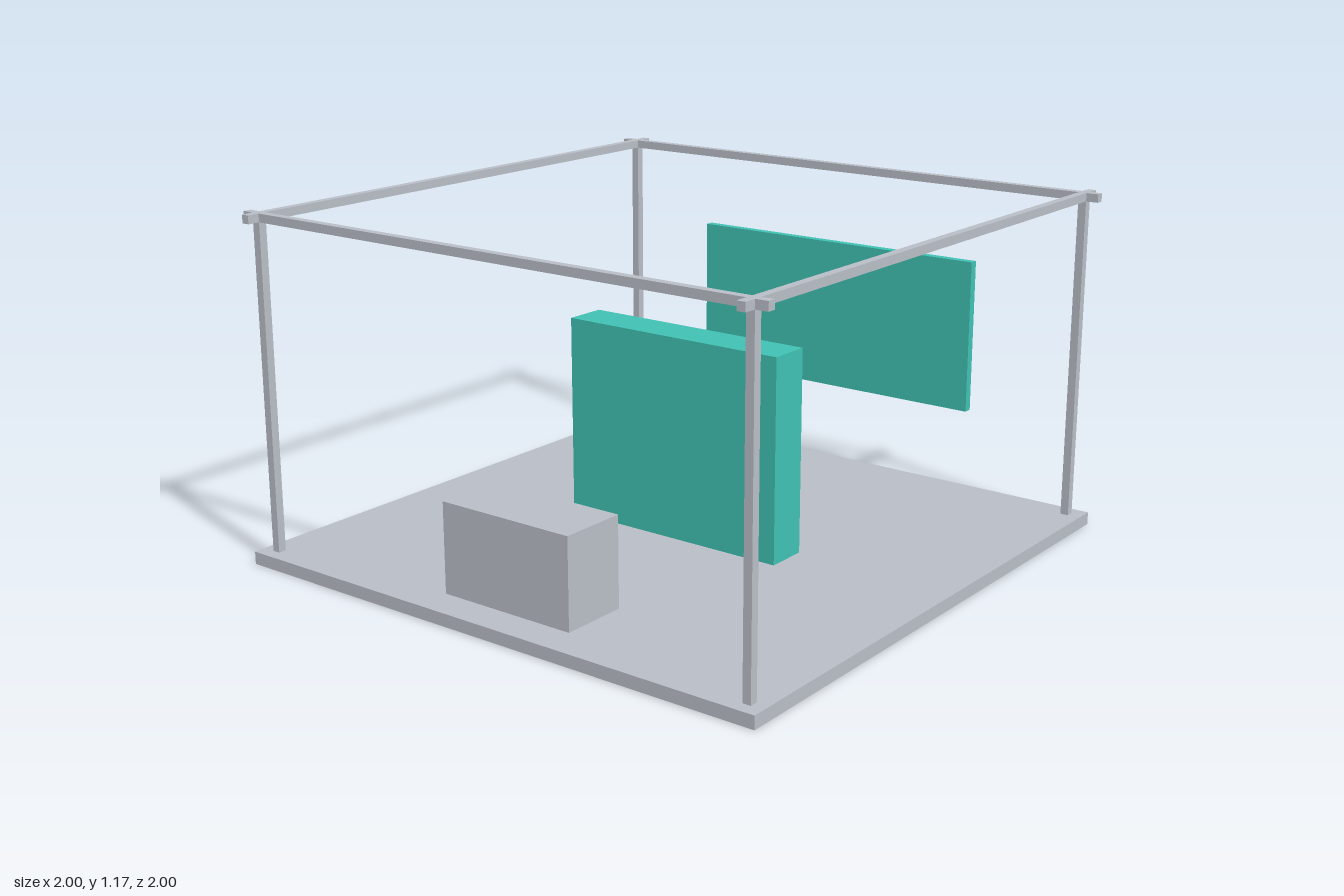
import * as THREE from 'three';

const grey = new THREE.MeshStandardMaterial({ name: 'lightGrey', color: 0xb9bec6 });
const teal = new THREE.MeshStandardMaterial({ name: 'teal', color: 0x40c1b3 });
const slate = new THREE.MeshStandardMaterial({ name: 'slateBlue', color: 0x527186 });

export function createModel() {
  const model = new THREE.Group();
  model.name = 'exhibitionBooth';

  // box given by its lower and upper corners
  const box = (name, material, [x0, y0, z0], [x1, y1, z1]) => {
    const mesh = new THREE.Mesh(new THREE.BoxGeometry(x1 - x0, y1 - y0, z1 - z0), material);
    mesh.position.set((x0 + x1) / 2, (y0 + y1) / 2, (z0 + z1) / 2);
    mesh.name = name;
    model.add(mesh);
  };

  const floorTop = 0.043;
  const top = 1.167;
  const bar = 0.028; // thickness of posts and beams
  const inner = 0.93;
  const outer = inner + bar;

  // floor platform
  box('floor', grey, [-1, 0, -1], [1, floorTop, 1]);

  // open frame: four posts and four crossing beams
  for (const s of [-1, 1]) {
    const a = Math.min(s * inner, s * outer);
    const b = a + bar;
    box('sideBeam', grey, [a, top - bar, -1], [b, top, 1]);
    box('crossBeam', grey, [-1, top - bar, a], [1, top, b]);
    for (const t of [-1, 1]) {
      const c = Math.min(t * inner, t * outer);
      box('post', grey, [a, floorTop, c], [b, top - bar, c + bar]);
    }
  }

  // central partition wall and reception counter
  box('partitionWall', teal, [-0.42, floorTop, -0.073], [0.42, 0.735, 0.073]);
  box('counter', grey, [-0.25, floorTop, 0.65], [0.25, 0.345, 0.882]);

  // rear display board with a thin screen on its back
  box('displayBoard', teal, [-0.566, 0.354, -0.92], [0.566, 0.889, -0.89]);
  box('displayScreen', slate, [-0.543, 0.38, -0.926], [0.543, 0.863, -0.92]);

  return model;
}
